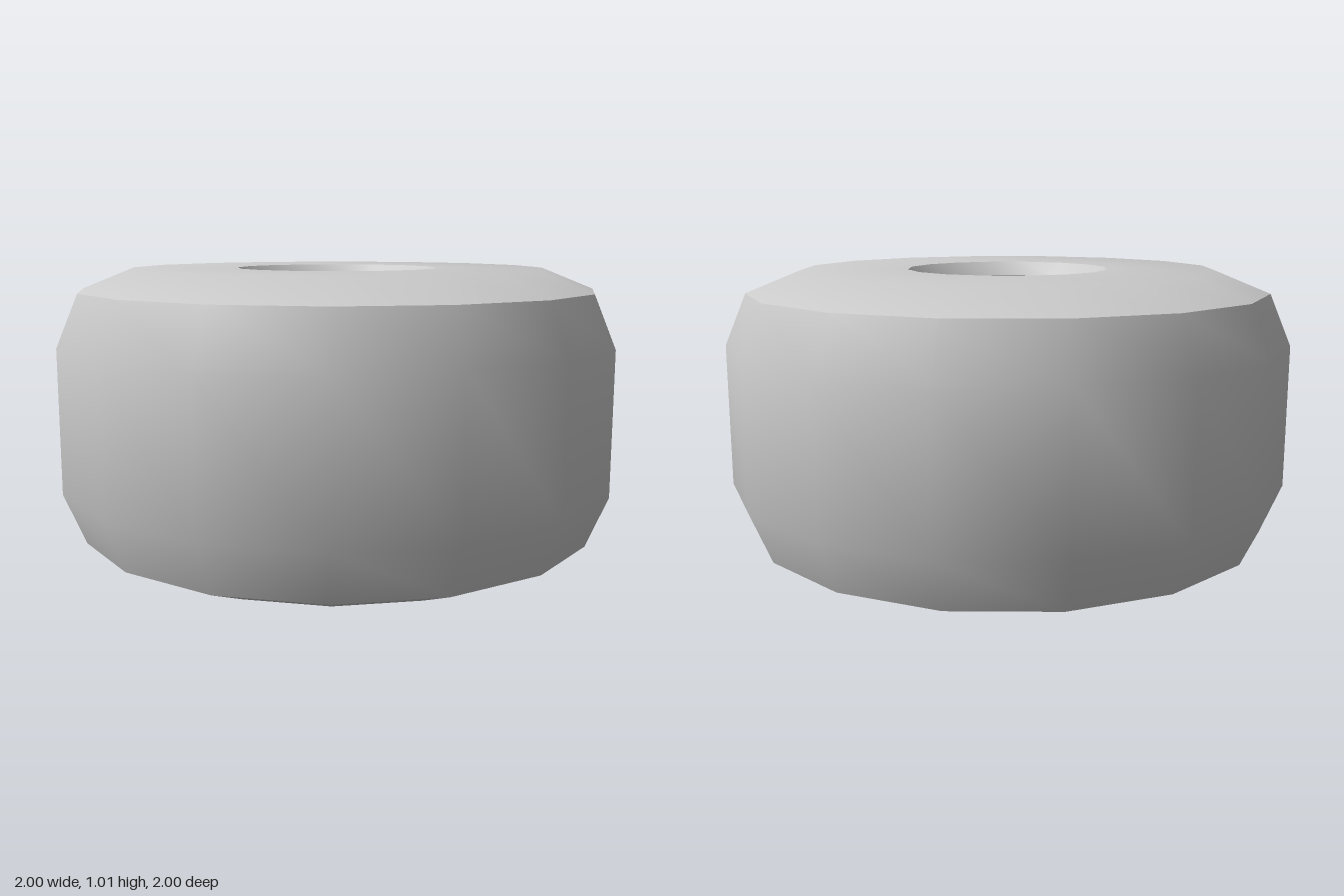
import * as THREE from 'three';
import { toCreasedNormals } from 'three/addons/utils/BufferGeometryUtils.js';

const HEIGHT = 1.01;
const SIDES = 16;
const CREASE = 0.6;

export function createModel() {
  const group = new THREE.Group();
  group.name = 'wheel';
  const material = new THREE.MeshStandardMaterial({ color: 0xcccccc });

  const add = (name, geometry) => {
    const mesh = new THREE.Mesh(toCreasedNormals(geometry, CREASE), material);
    mesh.name = name;
    group.add(mesh);
  };

  // Upper half of the tyre section, from the tread to the undercut lip of the bore
  const upper = [
    [1, 0.755], [0.925, 0.935], [0.74, HEIGHT],
    [0.36, HEIGHT], [0.32, 0.96], [0.36, 0.905],
  ];
  // Mirrored for the lower half, running bottom to top around the outside
  const lower = upper.map(([r, y]) => [r, HEIGHT - y]).reverse();
  const profile = [...lower, ...upper].map(([r, y]) => new THREE.Vector2(r, y));
  add('tyre', new THREE.LatheGeometry(profile, SIDES));

  // Solid core whose end faces form the recessed floors on both sides
  const core = new THREE.CylinderGeometry(0.36, 0.36, 0.8, SIDES);
  core.translate(0, HEIGHT / 2, 0);
  add('hubCore', core);

  return group;
}
